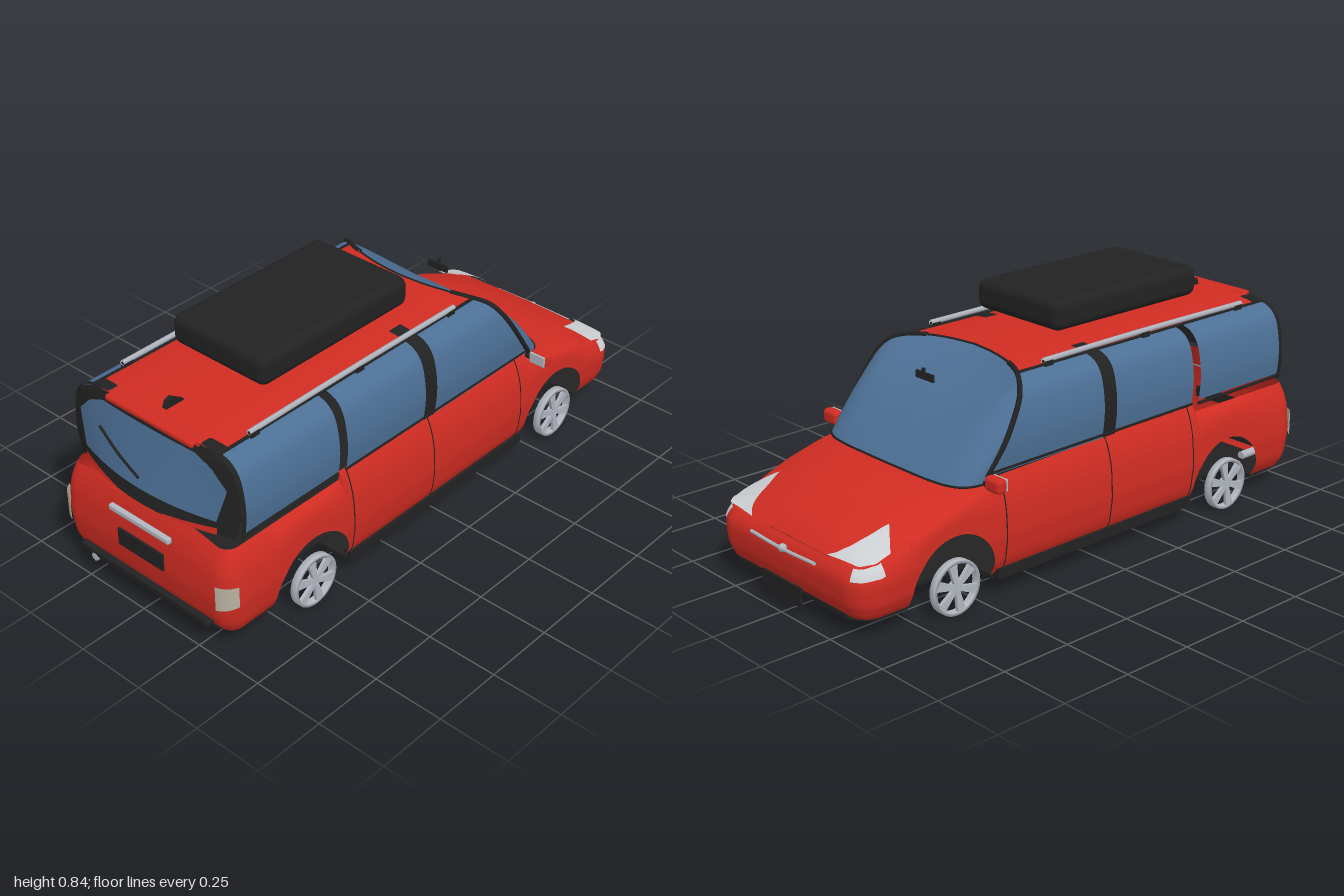
import * as THREE from 'three';
import { RoundedBoxGeometry } from 'three/addons/geometries/RoundedBoxGeometry.js';

const mat = (name, color) => new THREE.MeshStandardMaterial({ name, color, side: THREE.DoubleSide });
const V = (x, y, z) => new THREE.Vector3(x, y, z);

// piecewise linear lookup
function look(table, k) {
  if (k <= table[0][0]) return table[0][1];
  for (let i = 1; i < table.length; i++) {
    const [a, p] = table[i - 1], [b, q] = table[i];
    if (k <= b) return p + (q - p) * (k - a) / (b - a);
  }
  return table[table.length - 1][1];
}

// grid surface from a function of (u, v), each 0..1
function grid(f, nu, nv, flip = false) {
  const pos = [], idx = [];
  for (let i = 0; i <= nu; i++) for (let j = 0; j <= nv; j++) pos.push(...f(i / nu, j / nv).toArray());
  for (let i = 0; i < nu; i++) for (let j = 0; j < nv; j++) {
    const a = i * (nv + 1) + j, b = a + nv + 1;
    if (flip) idx.push(a, b, a + 1, b, b + 1, a + 1);
    else idx.push(a, a + 1, b, b, a + 1, b + 1);
  }
  const g = new THREE.BufferGeometry();
  g.setAttribute('position', new THREE.Float32BufferAttribute(pos, 3));
  g.setIndex(idx);
  g.computeVertexNormals();
  return g;
}

export function createModel() {
  const car = new THREE.Group();
  car.name = 'stationWagon';
  const red = mat('redPaint', 0xd02c22), glass = mat('blueGlass', 0x4d7096), black = mat('blackTrim', 0x222222);
  const silver = mat('silver', 0xb2b6bf), lens = mat('headlightLens', 0xcdd0d3), tail = mat('tailLens', 0xb9b2a2);
  const add = (name, geo, m, x = 0, y = 0, z = 0) => {
    const mesh = new THREE.Mesh(geo, m);
    mesh.name = name;
    mesh.position.set(x, y, z);
    car.add(mesh);
    return mesh;
  };
  const box = (name, m, w, h, d, x, y, z) => add(name, new THREE.BoxGeometry(w, h, d), m, x, y, z);
  const tube = (name, m, pts, r) => add(name, new THREE.TubeGeometry(new THREE.CatmullRomCurve3(pts), 40, r, 6), m);

  // ---- lower body: wall around the plan outline, with wheel arches ----
  const arches = [0.62, -0.615], R = 0.165;
  const crown = z => look([[-0.985, 0.2], [-0.955, 0.24], [-0.92, 0.27], [-0.88, 0.295], [-0.8, 0.335], [-0.7, 0.365], [-0.58, 0.387], [-0.44, 0.4]], z);
  const drop = z => look([[-0.955, 0], [-0.9, 0.035], [-0.85, 0.045], [-0.7, 0.035], [-0.5, 0.015]], z);
  const inset = y => look([[0.06, 0.05], [0.08, 0.028], [0.12, 0.01], [0.2, 0], [0.3, 0.003], [0.36, 0.008], [0.42, 0.012]], y);
  const bottom = z => {
    for (const c of arches) if (Math.abs(z - c) <= R) return 0.1 + Math.sqrt(Math.max(0, R * R - (z - c) ** 2));
    return 0.072;
  };
  const top = (x, z) => {
    if (z < -0.46) { const s = Math.max(z, -0.955); return crown(s) - drop(s); }
    if (z < 0.47) return 0.395 + 0.02 * (z + 0.46) / 0.93;
    return x < 0.3 ? 0.415 - 0.03 * (x / 0.3) ** 2 : 0.385;
  };
  const wall = (c, f, out = 0) => {
    const b = bottom(c.z), y = b + (top(c.x, c.z) - b) * f, d = inset(y) + 0.03 * f ** 6 - out;
    return V(c.x - c.nx * d, y, c.z - c.nz * d);
  };
  const side = z => ({ x: 0.385, z, nx: 1, nz: 0 });
  const nose = [], flank = [], back = [];
  for (let i = 0; i < 8; i++) {
    nose.push({ x: 0.285 * i / 8, z: -0.985, nx: 0, nz: -1 });
    back.unshift({ x: 0.305 * i / 8, z: 0.99, nx: 0, nz: 1 });
  }
  for (let i = 0; i <= 10; i++) {
    const a = i / 10 * Math.PI / 2, s = Math.sin(a), c = Math.cos(a);
    nose.push({ x: 0.285 + 0.1 * s, z: -0.885 - 0.1 * c, nx: s, nz: -c });
    back.unshift({ x: 0.305 + 0.08 * s, z: 0.91 + 0.08 * c, nx: s, nz: c });
  }
  for (const c of arches) {
    for (let i = 0; i <= 24; i++) flank.push(c + R * Math.cos(i / 24 * Math.PI) * 0.99999);
    flank.push(c - R - 0.0005, c + R + 0.0005);
  }
  for (let z = -0.42; z < 0.44; z += 0.06) flank.push(z);
  flank.push(-0.4605, -0.4595, 0.4695, 0.4705);
  flank.sort((a, b) => a - b);
  const cols = [...nose, ...flank.map(side), ...back];
  const mirror = (p, s) => { p.x *= s; return p; };
  for (const s of [1, -1]) {
    add('bodySide', grid((u, v) => mirror(wall(cols[Math.round(u * (cols.length - 1))], v), s), cols.length - 1, 16, s < 0), red);
    for (const z of [-0.41, 0.05, 0.44])
      add('doorSeam', grid((u, v) => mirror(wall(side(z + (u - 0.5) * 0.005), v, 0.0015), s), 1, 16, s < 0), black);
    box('sill', black, 0.03, 0.035, 0.88, s * 0.358, 0.075, 0.005);
  }

  // bonnet
  const hoodCols = cols.filter(c => c.z < -0.43 && c.x >= 0.285);
  add('bonnet', grid((u, v) => {
    const p = wall(hoodCols[Math.round(u * (hoodCols.length - 1))], 1), k = v * 2 - 1;
    return V(p.x * k, p.y + (Math.max(crown(p.z), p.y) - p.y) * (1 - Math.abs(k) ** 3), p.z);
  }, hoodCols.length - 1, 28), red);

  // headlights laid on the bonnet corners
  const hoodW = z => z > -0.885 ? 0.354 : 0.285 + 0.069 * Math.sqrt(Math.max(0, 1 - ((z + 0.885) / 0.07) ** 2));
  for (const s of [1, -1]) {
    add('headlight', grid((u, v) => {
      const k = (0.64 + 0.36 * u) * (1 - v) + (0.78 + 0.22 * u) * v;
      const z = (-0.954 + 0.012 * u) * (1 - v) + (-0.79 - 0.06 * u) * v;
      const y = crown(z) - drop(z) * k ** 3;
      return V(s * (k * hoodW(z) + 0.006 * k), y + 0.007, z - 0.006 * (1 - v));
    }, 10, 10, s > 0), lens);
    add('headlightSide', grid((u, v) => {
      const a = (0.25 + 0.75 * u) * Math.PI / 2, n = { x: 0.285 + 0.1 * Math.sin(a), z: -0.885 - 0.1 * Math.cos(a), nx: Math.sin(a), nz: -Math.cos(a) };
      return mirror(wall(n, 0.8 + 0.2 * v, 0.004), s);
    }, 10, 8, s < 0), lens);
  }

  // floor with wheel notches
  const fl = [[0.28, -0.95], [0.34, -0.9], [0.345, -0.78], [0.24, -0.78], [0.24, -0.45], [0.35, -0.45], [0.35, 0.455], [0.24, 0.455], [0.24, 0.785], [0.345, 0.785], [0.34, 0.91], [0.28, 0.96]];
  const floor = new THREE.Shape([...fl, ...fl.map(([x, z]) => [-x, z]).reverse()].map(([x, z]) => new THREE.Vector2(x, z)));
  add('floor', new THREE.ExtrudeGeometry(floor, { depth: 0.014, bevelEnabled: false }).rotateX(Math.PI / 2), black, 0, 0.074, 0);

  // ---- cabin: half section and windscreen edge share one curve ----
  const edge = new THREE.CatmullRomCurve3([
    V(0.358, 0.41, -0.47), V(0.366, 0.5, -0.405), V(0.36, 0.57, -0.36), V(0.343, 0.63, -0.32), V(0.315, 0.662, -0.295),
    V(0.27, 0.678, -0.265), V(0.2, 0.686, -0.235), V(0.1, 0.69, -0.21), V(0, 0.692, -0.2)]);
  const base = new THREE.CatmullRomCurve3([
    V(0.36, 0.39, -0.47), V(0.35, 0.388, -0.515), V(0.325, 0.387, -0.548), V(0.285, 0.387, -0.568), V(0.23, 0.387, -0.578),
    V(0.17, 0.387, -0.582), V(0.11, 0.388, -0.584), V(0.05, 0.388, -0.585), V(0, 0.388, -0.585)]);
  const T = 0.625;
  // strip of cabin skin between section parameters t0..t1 and z0..z1 (z0 null = windscreen edge)
  const skin = (name, m, s, t0, t1, z0, z1, out = 0) => add(name, grid((u, v) => {
    const p = edge.getPoint(t0 + (t1 - t0) * v), a = z0 === null ? p.z : z0;
    return V(s * (p.x + out * (p.x > 0.05)), p.y + out, a + (z1 - a) * u);
  }, 12, 24, s < 0), m);
  for (const s of [1, -1]) {
    skin('frontWindow', glass, s, 0, T, null, 0.03);
    skin('middleWindow', glass, s, 0.02, T, 0.08, 0.45);
    skin('rearSideWindow', glass, s, 0.03, T, 0.485, 0.895);
    skin('doorPillar', black, s, 0, 0.74, 0.027, 0.083, 0.002);
    skin('rearPillar', black, s, 0, T, 0.89, 0.908, 0.001);
    skin('roofHalf', red, s, T, 1, null, 0.905);
    add('windscreenHalf', grid((u, v) => {
      const p = base.getPoint(u).lerp(edge.getPoint(u), v), k = Math.sin(Math.PI * v) * u;
      return V(s * p.x, p.y + 0.022 * k, p.z - 0.018 * k);
    }, 30, 16, s > 0), glass);
    const line = (c, a, b) => Array.from({ length: 13 }, (_, i) => mirror(c.getPoint(a + (b - a) * i / 12), s));
    tube('windscreenPillar', black, line(edge, 0, 0.75), 0.009);
    tube('windscreenSeal', black, line(edge, 0.75, 1), 0.004);
    tube('cowlSeal', black, line(base, 0, 1), 0.004);
    for (const [a, b] of [[-0.47, 0.45], [0.485, 0.9]])
      tube('windowSeal', black, [V(s * 0.358, 0.418, a), V(s * 0.36, 0.424, b)], 0.005);
    tube('roofSeal', black, [V(s * 0.272, 0.678, -0.26), V(s * 0.272, 0.678, 0.9)], 0.006);
    // roof rail and its feet
    tube('roofRail', silver, [V(s * 0.275, 0.694, -0.16), V(s * 0.275, 0.697, 0.3), V(s * 0.275, 0.694, 0.78)], 0.009);
    for (const z of [-0.14, 0.3, 0.76]) box('railFoot', black, 0.018, 0.02, 0.035, s * 0.275, 0.682, z);
    add('roofCorner', new RoundedBoxGeometry(0.08, 0.03, 0.05, 2, 0.01), black, s * 0.235, 0.672, 0.882);
  }

  // ---- tailgate window ----
  const gate = (x, y, out) => {
    const t = (y - 0.41) / 0.268, w = look([[0.41, 0.358], [0.5, 0.366], [0.57, 0.36], [0.63, 0.343], [0.662, 0.315], [0.678, 0.27]], y);
    const k = x / w;
    return V(x, y + 0.012 * (1 - k * k) * t * t, 0.907 + (1 - k * k) * (0.08 - 0.06 * t) + out);
  };
  const gatePanel = (name, m, y0, y1, half, out) => add(name, grid((u, v) => {
    const y = y0 + (y1 - y0) * v;
    return gate((u * 2 - 1) * look(half, y), y, out);
  }, 28, 20, true), m);
  gatePanel('tailgateFrame', black, 0.415, 0.678, [[0.41, 0.345], [0.5, 0.365], [0.57, 0.36], [0.63, 0.343], [0.662, 0.315], [0.678, 0.27]], 0);
  gatePanel('tailgateGlass', glass, 0.463, 0.66, [[0.46, 0.287], [0.58, 0.322], [0.635, 0.265], [0.66, 0.2]], 0.005);
  for (const s of [1, -1])
    add('tailgateCorner', grid((u, v) => gate(s * (0.1 + 0.19 * u), 0.416 + (0.006 + 0.018 * u) * v, 0.004), 10, 2, s > 0), red);
  add('spoiler', new RoundedBoxGeometry(0.38, 0.022, 0.04, 2, 0.009), red, 0, 0.682, 0.91);
  tube('rearWiper', black, [gate(-0.2, 0.578, 0.012), gate(-0.1, 0.535, 0.012), gate(0, 0.5, 0.012)], 0.005);

  // ---- rear details ----
  box('rearPlate', black, 0.2, 0.063, 0.008, 0, 0.237, 0.992);
  add('tailgateHandle', new RoundedBoxGeometry(0.268, 0.021, 0.02, 2, 0.006), silver, 0, 0.335, 0.988);
  add('rearBumperStrip', new RoundedBoxGeometry(0.58, 0.026, 0.03, 2, 0.006), black, 0, 0.1, 0.982);
  add('exhaust', new THREE.CylinderGeometry(0.015, 0.015, 0.12, 8).rotateX(Math.PI / 2), silver, -0.225, 0.085, 0.938);
  for (const s of [1, -1])
    add('tailLight', grid((u, v) => {
      const a = (0.1 + 0.62 * u) * Math.PI / 2, y0 = 0.18 + 0.015 * u, sn = Math.sin(a), cs = Math.cos(a);
      const y = y0 + (0.272 - y0) * v;
      return V(s * (0.305 + 0.085 * sn + (1 - u) * 0.008), y, 0.91 + 0.085 * cs);
    }, 10, 4, s > 0), tail);

  // ---- nose details ----
  box('frontPlate', black, 0.2, 0.065, 0.008, 0, 0.08, -0.992);
  tube('noseBar', silver, [V(-0.165, 0.215, -0.985), V(0, 0.213, -0.99), V(0.165, 0.215, -0.985)], 0.006);
  add('noseStud', new THREE.SphereGeometry(0.014, 10, 8), silver, 0, 0.212, -0.984);
  box('frontLip', black, 0.56, 0.014, 0.03, 0, 0.075, -0.945);

  // ---- mirrors, aerial, roof box ----
  for (const s of [1, -1]) {
    add('doorMirror', new RoundedBoxGeometry(0.07, 0.048, 0.04, 3, 0.014), red, s * 0.408, 0.403, -0.478);
    add('mirrorFace', new RoundedBoxGeometry(0.062, 0.04, 0.008, 2, 0.003), silver, s * 0.408, 0.403, -0.457);
    box('mirrorArm', black, 0.03, 0.014, 0.02, s * 0.365, 0.393, -0.475);
  }
  box('insideMirror', black, 0.085, 0.024, 0.008, 0, 0.632, -0.412);
  box('insideMirrorStem', black, 0.01, 0.025, 0.008, 0, 0.648, -0.418);
  const fin = new THREE.Shape([[0.86, 0.688], [0.85, 0.715], [0.83, 0.722], [0.78, 0.69]].map(p => new THREE.Vector2(-p[0], p[1])));
  add('aerialFin', new THREE.ExtrudeGeometry(fin, { depth: 0.018, bevelEnabled: false }).rotateY(Math.PI / 2), black, -0.009, 0, 0);
  add('roofBox', new RoundedBoxGeometry(0.4, 0.105, 0.665, 4, 0.032), black, 0, 0.787, 0.307);

  // ---- open spoked wheels ----
  const spoke = new THREE.Shape([[-0.008, 0.012], [0.008, 0.012], [0.016, 0.083], [-0.016, 0.083]].map(p => new THREE.Vector2(...p)));
  const spokeGeo = new THREE.ExtrudeGeometry(spoke, { depth: 0.012, bevelEnabled: false });
  for (const s of [1, -1]) for (const z of arches) {
    const wheel = new THREE.Group();
    wheel.name = 'wheel';
    const put = (name, geo) => { const m = new THREE.Mesh(geo, silver); m.name = name; wheel.add(m); return m; };
    const ring = [[0.08, -0.012], [0.092, -0.012], [0.092, 0.012], [0.08, 0.012], [0.08, -0.012]].map(p => new THREE.Vector2(...p));
    put('rim', new THREE.LatheGeometry(ring, 32).rotateX(Math.PI / 2));
    put('hub', new THREE.CylinderGeometry(0.02, 0.02, 0.022, 16).rotateX(Math.PI / 2));
    for (let i = 0; i < 6; i++) put('spoke', spokeGeo).rotation.z = i * Math.PI / 3 + 0.2;
    wheel.rotation.y = s * Math.PI / 2;
    wheel.position.set(s * 0.374, 0.093, z);
    car.add(wheel);
  }
  return car;
}
